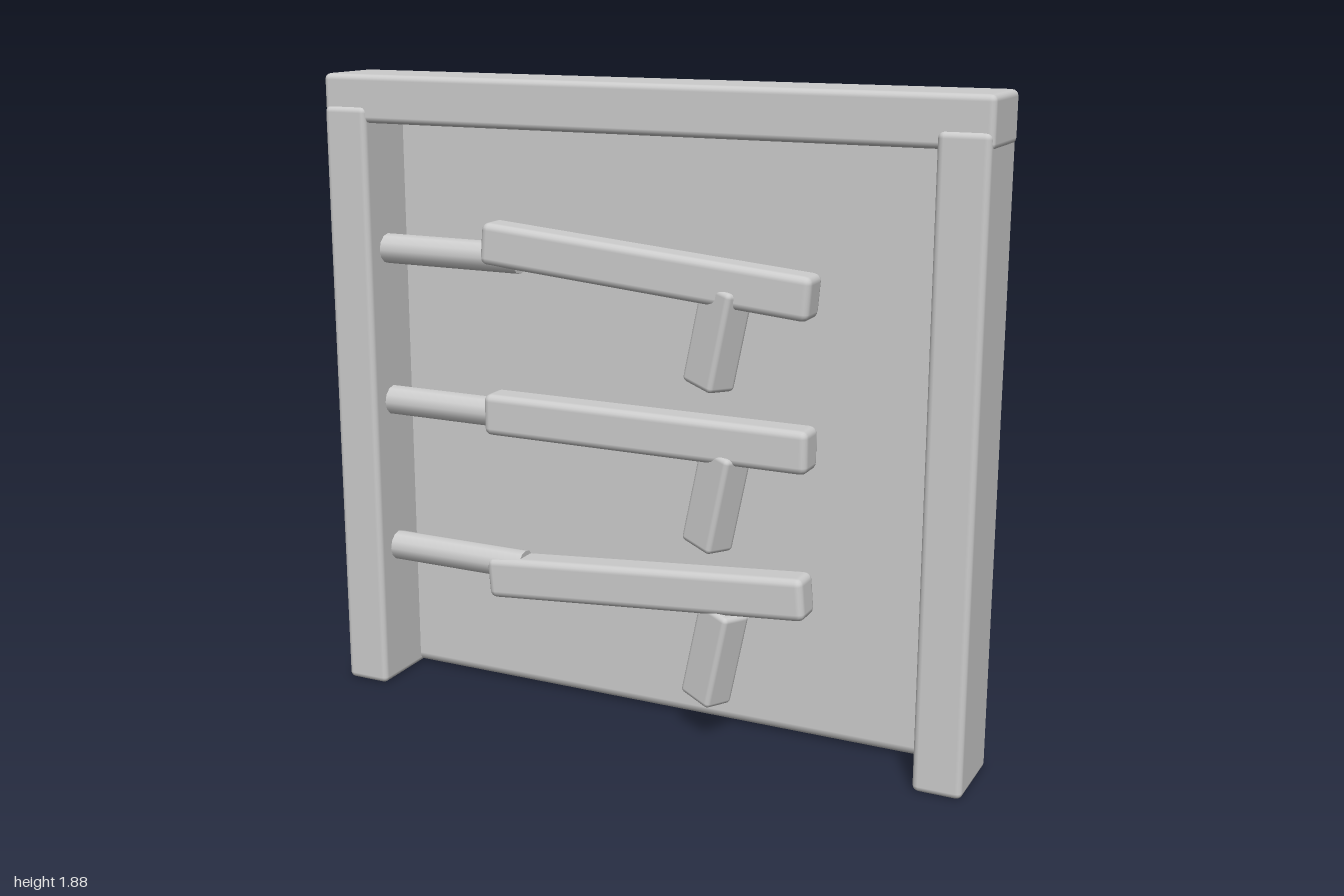
import * as THREE from 'three';
import { RoundedBoxGeometry } from 'three/addons/geometries/RoundedBoxGeometry.js';

export function createModel() {
  const model = new THREE.Group();
  model.name = 'wallRack';
  const grey = new THREE.MeshStandardMaterial({ color: 0xcccccc });
  grey.name = 'plainGrey';

  // Box with softened edges, placed by its centre
  function block(parent, name, size, position, radius) {
    const mesh = new THREE.Mesh(new RoundedBoxGeometry(...size, 2, radius), grey);
    mesh.name = name;
    mesh.position.set(...position);
    parent.add(mesh);
    return mesh;
  }

  // Frame: back panel, two posts and the top beam
  block(model, 'backPanel', [1.85, 1.79, 0.1], [0, 0.905, -0.1], 0.03);
  for (const side of [-1, 1]) {
    const name = side < 0 ? 'rightPost' : 'leftPost';
    block(model, name, [0.14, 1.79, 0.245], [side * 0.925, 0.9, 0.0275], 0.018);
  }
  block(model, 'topBeam', [2, 0.14, 0.23], [0, 1.818, 0.025], 0.018);

  // Three hung items, each with a level rod, a tilted body and an angled grip
  const tilts = [0.085, 0, -0.085];
  tilts.forEach((tilt, i) => {
    const item = new THREE.Group();
    item.name = 'hungItem' + (i + 1);
    item.position.set(0, 0.437 + i * 0.467, 0.05);
    model.add(item);

    const rod = new THREE.Mesh(new THREE.CylinderGeometry(0.045, 0.045, 0.5, 12), grey);
    rod.name = 'rod';
    rod.rotation.z = Math.PI / 2;
    rod.position.set(-0.65, 0, 0);
    item.add(rod);

    const body = block(item, 'body', [1.02, 0.125, 0.1], [0, 0, 0], 0.022);
    body.rotation.z = tilt;

    // Grip leans in the front plane and is turned about its own length
    const grip = block(item, 'grip', [0.12, 0.29, 0.1], [0.224, -0.175, 0], 0.015);
    grip.rotation.order = 'ZYX';
    grip.rotation.set(0, -0.42, -0.2);
  });

  return model;
}
